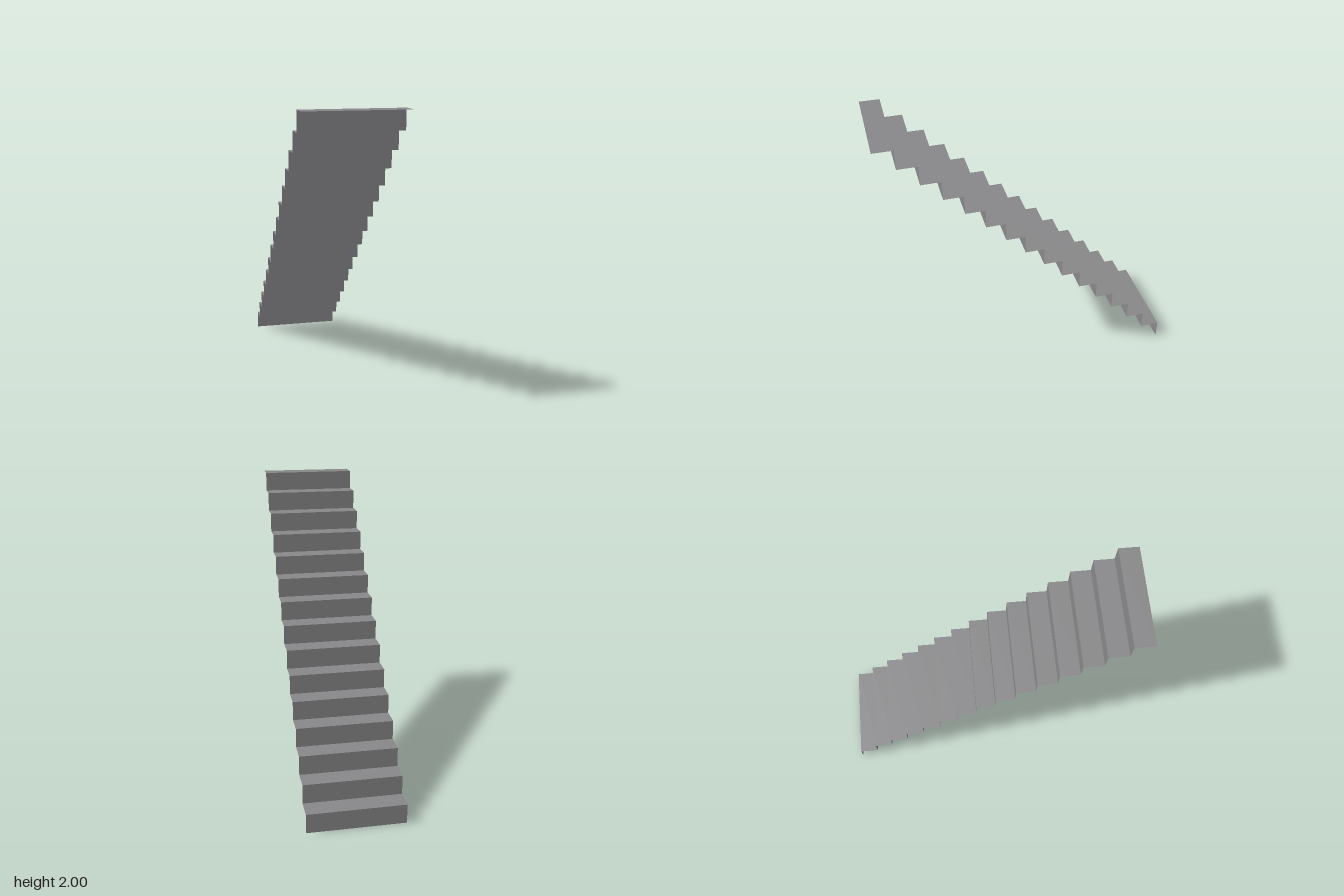
import * as THREE from 'three';

const STEPS = 15;
const WIDTH = 0.66;
const SIZE = 2 / STEPS; // rise and run of one step

export function createModel() {
  const group = new THREE.Group();
  group.name = 'staircase';

  const grey = new THREE.MeshStandardMaterial({ color: 0x888789, side: THREE.DoubleSide });
  grey.name = 'stair grey';

  // Thin sheets: risers face the back, treads face up
  const riserGeometry = new THREE.PlaneGeometry(WIDTH, SIZE).rotateY(Math.PI);
  const treadGeometry = new THREE.PlaneGeometry(WIDTH, SIZE).rotateX(-Math.PI / 2);

  // The flight climbs from the back to the front
  for (let i = 0; i < STEPS; i++) {
    const riser = new THREE.Mesh(riserGeometry, grey);
    riser.name = `riser${i + 1}`;
    riser.position.set(0, (i + 0.5) * SIZE, -1 + i * SIZE);

    const tread = new THREE.Mesh(treadGeometry, grey);
    tread.name = `tread${i + 1}`;
    tread.position.set(0, (i + 1) * SIZE, -1 + (i + 0.5) * SIZE);

    group.add(riser, tread);
  }
  return group;
}
